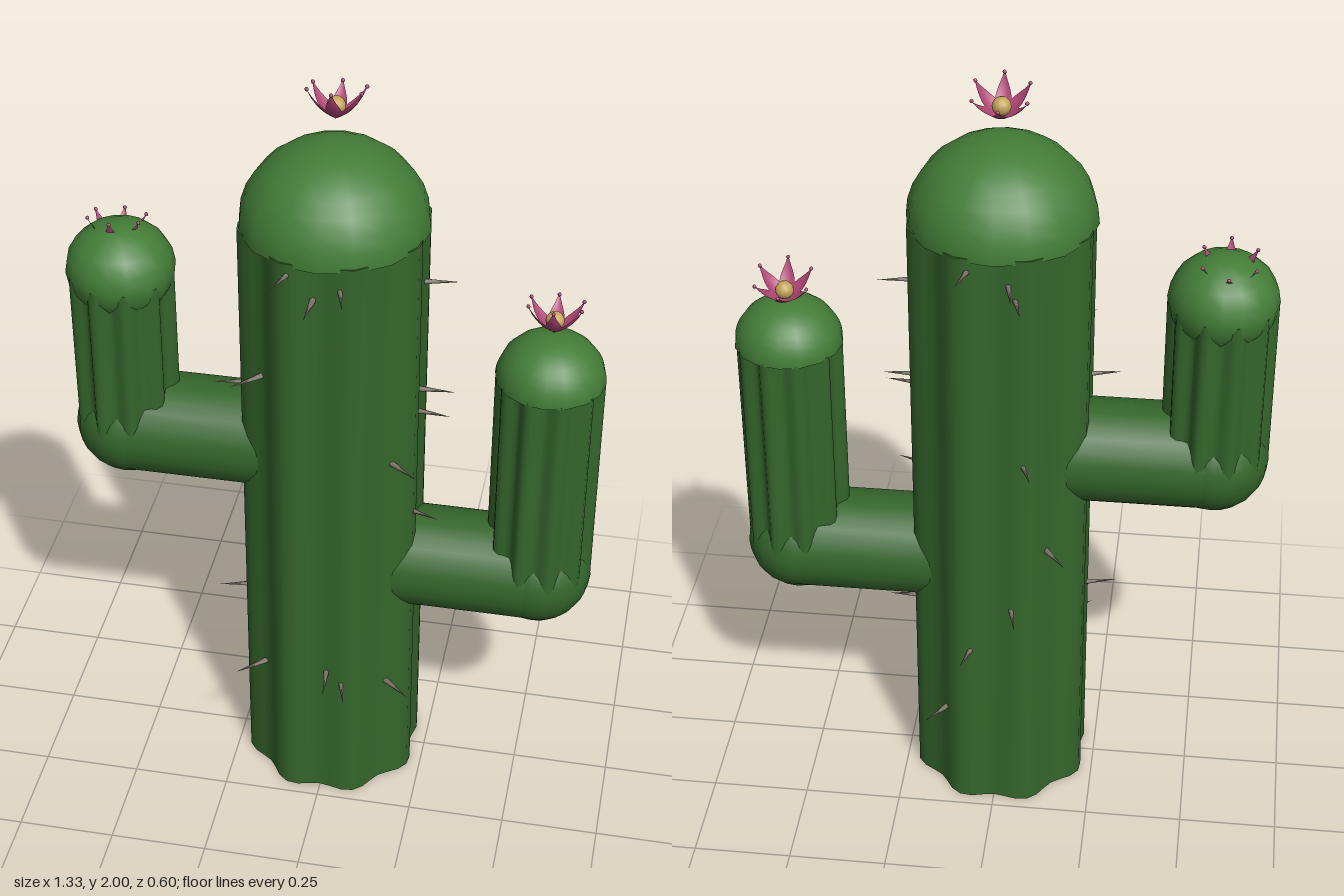
import * as THREE from 'three';
import { toCreasedNormals } from 'three/addons/utils/BufferGeometryUtils.js';

const mat = (color, side = THREE.FrontSide) => new THREE.MeshStandardMaterial({ color, side });
const skin = mat(0x35662c), capSkin = mat(0x437d37);
const pink = mat(0xb04575, THREE.DoubleSide), pollen = mat(0xc4a65c), thorn = mat(0x7d7568);

function add(parent, name, geometry, material, x = 0, y = 0, z = 0) {
  const mesh = new THREE.Mesh(geometry, material);
  mesh.name = name;
  mesh.position.set(x, y, z);
  parent.add(mesh);
  return mesh;
}

// Upright column whose radius swells and dips around its axis, with a valley at the front
function ribbedColumn(radius, depth, ribs, height) {
  const g = new THREE.CylinderGeometry(radius, radius, height, ribs * 6, 1);
  g.translate(0, height / 2, 0);
  const p = g.attributes.position;
  for (let i = 0; i < p.count; i++) {
    const x = p.getX(i), z = p.getZ(i);
    const k = 1 - (depth / radius) * Math.cos(ribs * Math.atan2(x, z));
    p.setX(i, x * k);
    p.setZ(i, z * k);
  }
  return toCreasedNormals(g, 0.9);
}

// Pointed petal, curling upward along its length and cupped across its width
function petalGeometry(length, width) {
  const g = new THREE.PlaneGeometry(1, 1, 4, 8);
  const p = g.attributes.position;
  for (let i = 0; i < p.count; i++) {
    const s = p.getX(i) * 2, t = p.getY(i) + 0.5;
    const w = width * (0.12 + 0.88 * Math.sin(Math.PI * Math.pow(t, 0.8))) * (1 - 0.45 * t);
    const out = length * (0.95 * t - 0.22 * t * t);
    const up = length * (0.38 * t + 0.32 * t * t) + 0.35 * w * s * s;
    p.setXYZ(i, s * w, up, out);
  }
  g.computeVertexNormals();
  return g;
}

// Flower with six petals, leaning slightly to the back
function makeFlower(name, x, y, z) {
  const flower = new THREE.Group();
  flower.name = name;
  const petal = petalGeometry(0.1, 0.023);
  const tip = new THREE.SphereGeometry(0.005, 6, 5);
  for (let i = 0; i < 6; i++) {
    const holder = new THREE.Group();
    holder.name = 'petalHolder';
    holder.rotation.y = (i * Math.PI) / 3;
    add(holder, 'petal', petal, pink);
    add(holder, 'petalTip', tip, pink, 0, 0.071, 0.073);
    flower.add(holder);
  }
  add(flower, 'flowerCentre', new THREE.SphereGeometry(0.023, 12, 8), pollen, 0, 0.03, 0);
  flower.position.set(x, y, z);
  flower.rotation.x = -0.24;
  return flower;
}

// Side arm: horizontal stub, round elbow, ribbed upright and cap
function makeArm(name, side, y, height, fullCap, capY) {
  const arm = new THREE.Group();
  arm.name = name;
  const reach = 0.53;
  const stub = add(arm, 'armStub', new THREE.CylinderGeometry(0.132, 0.132, 0.43, 24), skin, side * (reach - 0.215), y);
  stub.rotation.z = Math.PI / 2;
  add(arm, 'elbow', new THREE.SphereGeometry(0.135, 20, 14), skin, side * reach, y);
  add(arm, 'armColumn', ribbedColumn(0.123, 0.011, 10, height), skin, side * reach, y);
  const sweep = fullCap ? Math.PI : Math.PI / 2;
  const cap = add(arm, 'armCap', new THREE.SphereGeometry(0.135, 16, 10, 0, Math.PI * 2, 0, sweep), capSkin, side * reach, capY);
  cap.material = capSkin;
  cap.scale.y = 0.89;
  return arm;
}

export function createModel() {
  const cactus = new THREE.Group();
  cactus.name = 'cactus';

  // Trunk and its domed top
  add(cactus, 'trunk', ribbedColumn(0.221, 0.013, 8, 1.65), skin);
  const dome = add(cactus, 'trunkCap',
    new THREE.SphereGeometry(0.23, 16, 8, 0, Math.PI * 2, 0, Math.PI / 2), capSkin, 0, 1.64);
  dome.scale.y = 0.91;

  // Arms
  cactus.add(makeArm('leftArm', 1, 0.67, 0.6, false, 1.265));
  cactus.add(makeArm('rightArm', -1, 1.0, 0.45, true, 1.455));

  // Flowers
  cactus.add(makeFlower('topFlower', 0, 1.91, -0.01));
  cactus.add(makeFlower('leftFlower', 0.53, 1.39, -0.01));
  cactus.add(makeFlower('rightFlower', -0.54, 1.51, -0.01));

  // Spines: compass angle in degrees (0 front, 90 left side) and height
  const spines = [
    [-18, 1.62], [14, 1.59], [-3, 1.555], [5, 0.41], [15, 0.38],
    [-46, 1.28], [-48, 0.36], [50, 0.34], [52, 1.05],
    [99, 1.48], [90, 1.19], [82, 1.145], [70, 0.87], [91, 0.5],
    [-77, 1.19], [-77, 0.54],
    [165, 1.615], [-170, 1.58], [-166, 1.545], [-161, 1.08], [-168, 0.635],
    [165, 0.5], [144, 0.27], [-143, 0.8],
  ];
  const spineShape = new THREE.ConeGeometry(0.008, 0.09, 6).rotateX(Math.PI / 2);
  const spineGroup = new THREE.Group();
  spineGroup.name = 'spines';
  for (const [deg, y] of spines) {
    const a = THREE.MathUtils.degToRad(deg);
    const spine = add(spineGroup, 'spine', spineShape, thorn, Math.sin(a) * 0.255, y, Math.cos(a) * 0.255);
    spine.rotation.y = a;
  }
  cactus.add(spineGroup);
  return cactus;
}
